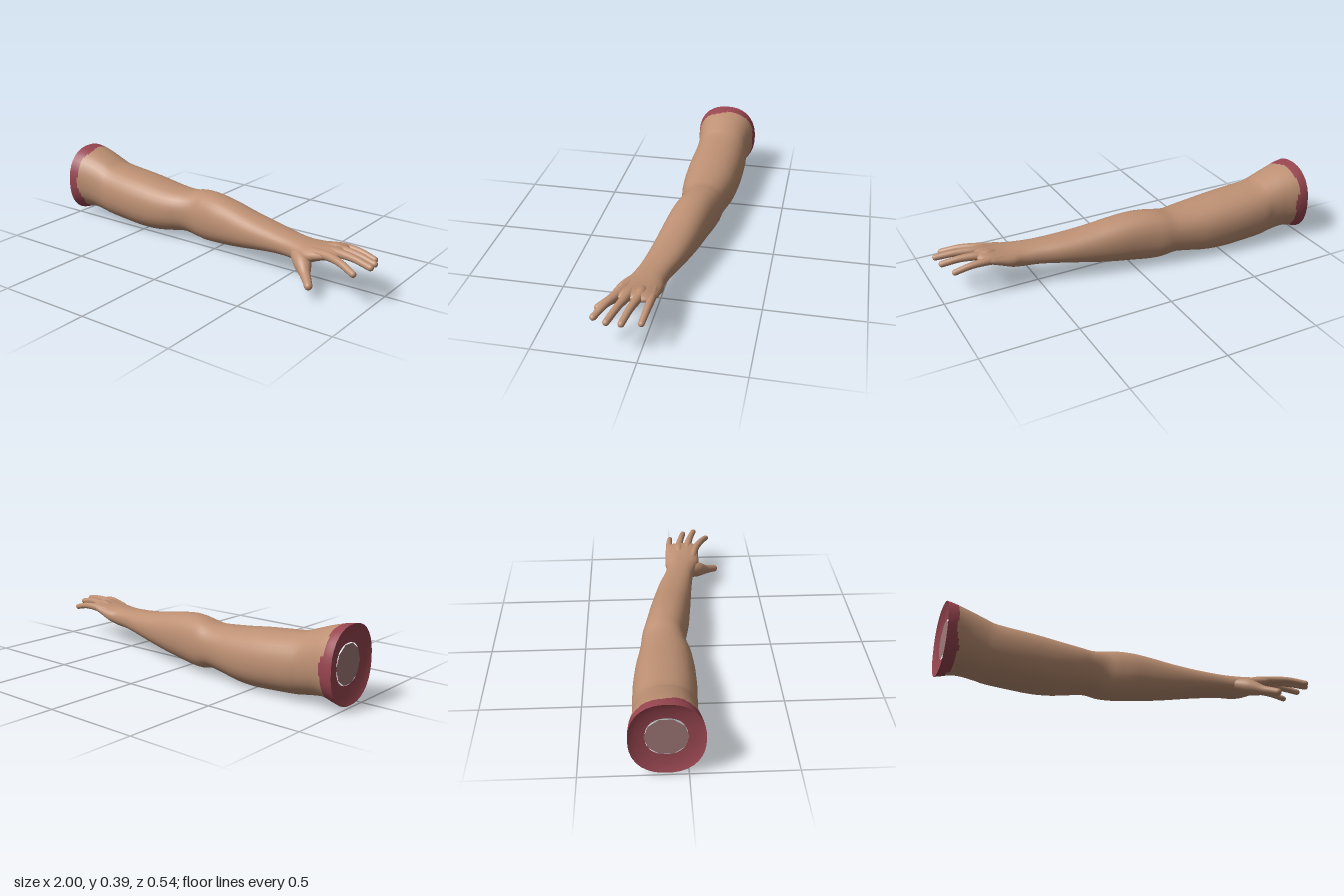
import * as THREE from 'three';

const SEG = 36;

// Skin a list of rings {c: centre, up, side: radius vectors, n: squareness} into [geometry].
// isSecond(x, angle) sends a quad to the second material group.
function loft(rings, isSecond = () => false) {
  const pos = [], first = [], second = [];
  for (const { c, up, side, n } of rings) {
    for (let j = 0; j < SEG; j++) {
      const a = (j / SEG) * Math.PI * 2, co = Math.cos(a), si = Math.sin(a);
      const k = Math.pow(Math.abs(co) ** n + Math.abs(si) ** n, -1 / n);
      const p = c.clone().addScaledVector(up, co * k).addScaledVector(side, si * k);
      pos.push(p.x, p.y, p.z);
    }
  }
  for (let i = 0; i < rings.length - 1; i++) {
    for (let j = 0; j < SEG; j++) {
      const j2 = (j + 1) % SEG, a = i * SEG + j, b = i * SEG + j2;
      const list = isSecond(rings[i].c.x, (j / SEG) * Math.PI * 2) ? second : first;
      list.push(a, b, a + SEG, b, b + SEG, a + SEG);
    }
  }
  const g = new THREE.BufferGeometry();
  g.setAttribute('position', new THREE.Float32BufferAttribute(pos, 3));
  g.setIndex([...first, ...second]);
  g.addGroup(0, first.length, 0);
  g.addGroup(first.length, second.length, 1);
  g.computeVertexNormals();
  return g;
}

// Upright ring across x, from its extents
function slice(x, top, bottom, zMin, zMax, n = 2.3) {
  return {
    c: new THREE.Vector3(x, (top + bottom) / 2, (zMin + zMax) / 2),
    up: new THREE.Vector3(0, (top - bottom) / 2, 0),
    side: new THREE.Vector3(0, 0, (zMax - zMin) / 2), n,
  };
}

// Rounded digit along points [x, y, z, radius]
function digit(points) {
  const path = new THREE.CatmullRomCurve3(points.map(p => new THREE.Vector3(p[0], p[1], p[2])));
  const radii = new THREE.CatmullRomCurve3(points.map(p => new THREE.Vector3(p[3], 0, 0)));
  const rings = [];
  const add = (c, t, r) => {
    const side = new THREE.Vector3().crossVectors(t, new THREE.Vector3(0, 1, 0)).normalize();
    const up = new THREE.Vector3().crossVectors(side, t);
    rings.push({ c, up: up.multiplyScalar(r), side: side.multiplyScalar(r), n: 2 });
  };
  for (let i = 0; i <= 20; i++) add(path.getPoint(i / 20), path.getTangent(i / 20), radii.getPoint(i / 20).x);
  const tip = path.getPoint(1), dir = path.getTangent(1), r = points[points.length - 1][3];
  for (let i = 1; i <= 6; i++) {
    const a = (i / 6) * Math.PI / 2;
    add(tip.clone().addScaledVector(dir, r * Math.sin(a)), dir, r * Math.max(Math.cos(a), 0.001));
  }
  return loft(rings);
}

export function createModel() {
  const group = new THREE.Group();
  const material = (name, color) => Object.assign(new THREE.MeshStandardMaterial({ color }), { name });
  const skin = material('skin', 0xbd9073);
  const flesh = material('flesh', 0x984650);
  const bone = material('bone', 0xa07a78);
  const add = (name, geo, mat) => {
    const m = new THREE.Mesh(geo, mat);
    m.name = name;
    group.add(m);
    return m;
  };

  // Arm and palm profile: x, top, bottom, zMin, zMax
  const profile = [
    [-1, 0.394, 0.014, -0.271, 0.075], [-0.96, 0.388, 0.026, -0.269, 0.069],
    [-0.92, 0.378, 0.038, -0.262, 0.06], [-0.87, 0.363, 0.038, -0.252, 0.053],
    [-0.8, 0.338, 0.027, -0.245, 0.05], [-0.74, 0.318, 0.018, -0.249, 0.053],
    [-0.6, 0.303, 0.008, -0.247, 0.061], [-0.5, 0.293, 0.003, -0.241, 0.062],
    [-0.4, 0.28, 0.009, -0.231, 0.06], [-0.3, 0.27, 0.026, -0.214, 0.05],
    [-0.22, 0.267, 0.038, -0.203, 0.033], [-0.15, 0.28, 0.026, -0.196, 0.026],
    [-0.08, 0.287, 0.023, -0.182, 0.04], [0, 0.284, 0.03, -0.167, 0.055],
    [0.1, 0.27, 0.041, -0.15, 0.066], [0.2, 0.251, 0.056, -0.131, 0.076],
    [0.3, 0.235, 0.074, -0.11, 0.085], [0.4, 0.223, 0.09, -0.086, 0.095],
    [0.5, 0.214, 0.1, -0.056, 0.108], [0.58, 0.21, 0.102, -0.042, 0.13],
    [0.64, 0.209, 0.116, -0.047, 0.15], [0.7, 0.214, 0.142, -0.044, 0.15],
    [0.75, 0.221, 0.162, -0.04, 0.152], [0.785, 0.22, 0.175, -0.025, 0.142],
    [0.805, 0.21, 0.188, 0.005, 0.122], [0.808, 0.2, 0.199, 0.05, 0.08],
  ];
  const lower = new THREE.CatmullRomCurve3(profile.map(p => new THREE.Vector3(p[0], p[2], p[3])), false, 'catmullrom', 0.5);
  const upper = new THREE.CatmullRomCurve3(profile.map(p => new THREE.Vector3(p[0], p[1], p[4])), false, 'catmullrom', 0.5);
  const steps = (profile.length - 1) * 5;
  const rings = [];
  for (let i = 0; i <= steps; i++) {
    const lo = lower.getPoint(i / steps), hi = upper.getPoint(i / steps);
    rings.push(slice(lo.x, hi.y, lo.y, lo.z, hi.z));
  }
  // Ragged red edge at the upper end
  const ragged = (x, a) => x < -0.945 + 0.009 * Math.sin(a * 3 + 1) + 0.005 * Math.sin(a * 7);
  add('armAndPalm', loft(rings, ragged), [skin, flesh]);

  // Slightly hollow end with the bone at its centre
  add('cutEnd', loft([
    slice(-0.98, 0.305, 0.105, -0.195, -0.005),
    slice(-0.985, 0.36, 0.05, -0.24, 0.045),
    slice(-1, 0.394, 0.014, -0.271, 0.075),
  ]), flesh);
  const boneEnd = add('boneEnd', new THREE.CircleGeometry(0.1, 10).rotateY(-Math.PI / 2), bone);
  boneEnd.position.set(-0.983, 0.205, -0.1);

  // Fingers and thumb
  const digits = {
    littleFinger: [[0.68, 0.182, -0.012, 0.022], [0.77, 0.193, -0.018, 0.02], [0.85, 0.19, -0.016, 0.017], [0.932, 0.171, -0.009, 0.015]],
    ringFinger: [[0.68, 0.185, 0.035, 0.022], [0.78, 0.2, 0.039, 0.022], [0.88, 0.201, 0.057, 0.018], [0.97, 0.186, 0.073, 0.016]],
    middleFinger: [[0.68, 0.185, 0.075, 0.022], [0.78, 0.203, 0.09, 0.023], [0.88, 0.206, 0.113, 0.018], [0.982, 0.194, 0.138, 0.016]],
    indexFinger: [[0.66, 0.182, 0.11, 0.024], [0.76, 0.195, 0.136, 0.022], [0.85, 0.194, 0.175, 0.018], [0.933, 0.175, 0.212, 0.016]],
    thumb: [[0.56, 0.152, 0.085, 0.035], [0.62, 0.13, 0.133, 0.043], [0.675, 0.098, 0.193, 0.026], [0.705, 0.085, 0.225, 0.022], [0.727, 0.074, 0.25, 0.02]],
  };
  for (const [name, points] of Object.entries(digits)) add(name, digit(points), skin);

  return group;
}
